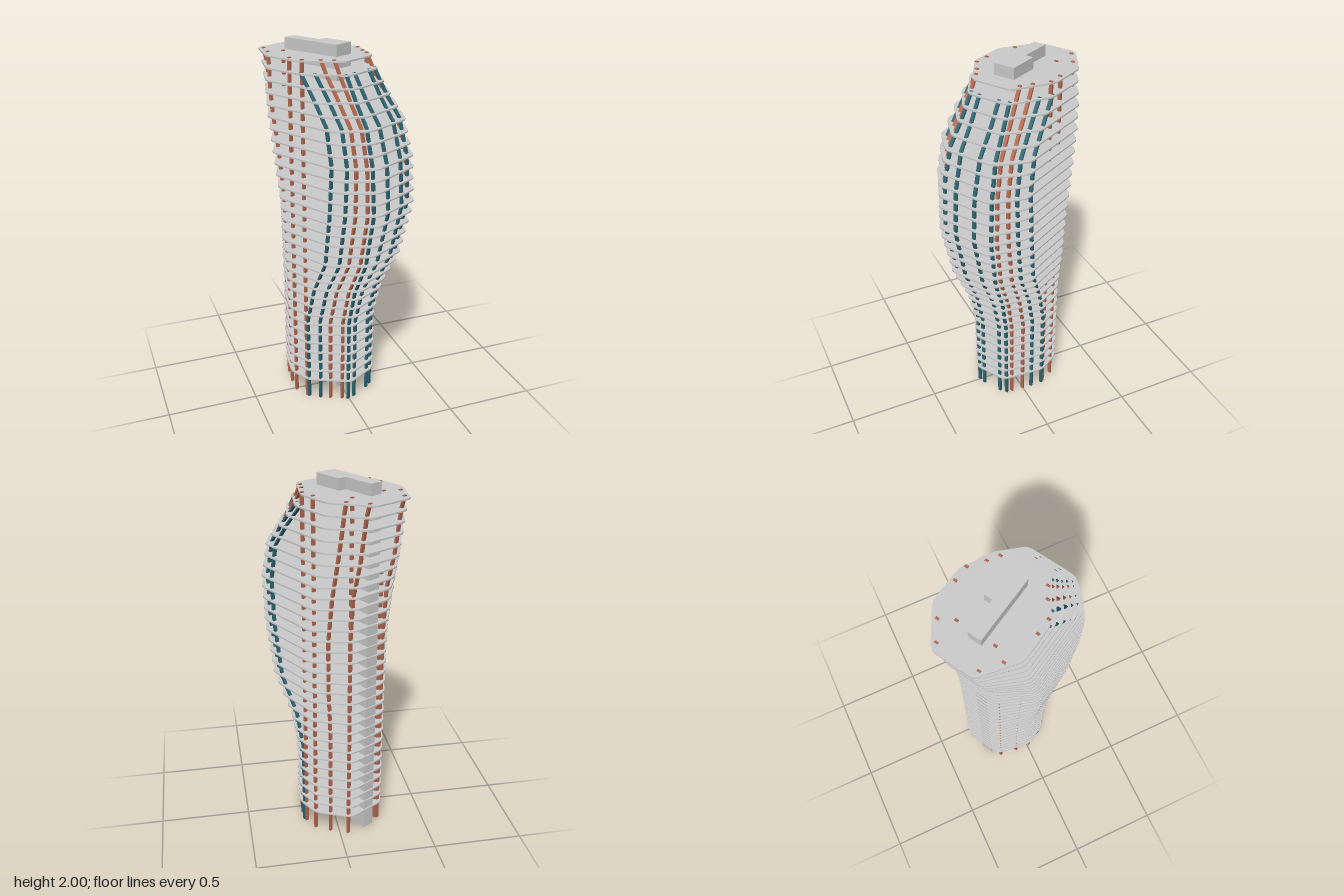
import * as THREE from 'three';

const CENTRE_U = -0.006, CENTRE_V = -0.05;

// Floor outline by height: y, front half width, front, side half width, side front end, side back end, back
const PROFILE = [
  [0.0, 0.10, 0.200, 0.240, 0.00, -0.14, -0.308],
  [0.5, 0.10, 0.205, 0.242, 0.00, -0.14, -0.308],
  [0.7, 0.11, 0.252, 0.247, 0.06, -0.14, -0.308],
  [0.9, 0.13, 0.345, 0.267, 0.18, -0.14, -0.308],
  [1.2, 0.15, 0.410, 0.279, 0.23, -0.15, -0.308],
  [1.45, 0.15, 0.394, 0.279, 0.25, -0.195, -0.325],
  [1.64, 0.14, 0.342, 0.273, 0.21, -0.226, -0.378],
  [1.76, 0.125, 0.256, 0.263, 0.11, -0.244, -0.398],
  [1.88, 0.115, 0.184, 0.248, -0.01, -0.25, -0.42],
  [1.94, 0.113, 0.150, 0.243, -0.05, -0.254, -0.44],
];
const BACK_HALF = 0.112;

// Four corners of one half of the floor, front to back
function halfOutline(y) {
  let i = 0;
  while (i < PROFILE.length - 2 && y > PROFILE[i + 1][0]) i++;
  const p = PROFILE[i], q = PROFILE[i + 1];
  const t = (y - p[0]) / (q[0] - p[0]);
  const [, a, front, b, v1, v2, back] = p.map((n, k) => THREE.MathUtils.lerp(n, q[k], t));
  return [[a, front], [b, v1], [b, v2], [BACK_HALF, back]].map(c => new THREE.Vector2(...c));
}

// Octagonal floor with rounded corners
function floorShape(y, radius = 0.03) {
  const half = halfOutline(y);
  const pts = [...half, ...half.map(p => new THREE.Vector2(-p.x, p.y)).reverse()];
  pts.forEach(p => { p.x += CENTRE_U; });
  const toward = (p, q) => p.clone().add(q.clone().sub(p).setLength(radius));
  const shape = new THREE.Shape();
  pts.forEach((p, i) => {
    const start = toward(p, pts.at(i - 1));
    const end = toward(p, pts[(i + 1) % pts.length]);
    if (i === 0) shape.moveTo(start.x, start.y);
    else shape.lineTo(start.x, start.y);
    shape.quadraticCurveTo(p.x, p.y, end.x, end.y);
  });
  shape.closePath();
  return shape;
}

// Extrudes a plan downward from height top
function slab(shape, top, depth, material, name) {
  const geo = new THREE.ExtrudeGeometry(shape, { depth, bevelEnabled: false, curveSegments: 4 });
  geo.rotateX(Math.PI / 2);
  geo.translate(0, top, 0);
  const mesh = new THREE.Mesh(geo, material);
  mesh.name = name;
  return mesh;
}

// Column with a constant level section, bent through the given nodes
function column(nodes, material, name) {
  const n = nodes.length - 1;
  const geo = new THREE.BoxGeometry(0.018, 1, 0.012, 1, n, 1);
  const pos = geo.attributes.position;
  for (let i = 0; i < pos.count; i++) {
    const node = nodes[Math.round((pos.getY(i) + 0.5) * n)];
    pos.setXYZ(i, pos.getX(i) + node.x, node.y, pos.getZ(i) + node.z);
  }
  geo.computeVertexNormals();
  const mesh = new THREE.Mesh(geo, material);
  mesh.name = name;
  return mesh;
}

export function createModel() {
  const model = new THREE.Group();
  model.name = 'tower';
  const tower = new THREE.Group();
  tower.name = 'towerBody';
  tower.rotation.y = Math.PI / 6;
  model.add(tower);

  const grey = new THREE.MeshStandardMaterial({ color: 0xcccccc });
  const terracotta = new THREE.MeshStandardMaterial({ color: 0xb5694f, flatShading: true });
  const teal = new THREE.MeshStandardMaterial({ color: 0x2f6672, flatShading: true });

  // Service core with a notched plan
  const core = new THREE.Shape([
    [-0.06, -0.30], [0.01, -0.30], [0.01, -0.12], [0.055, -0.12], [0.055, 0.048], [-0.06, 0.048],
  ].map(p => new THREE.Vector2(...p)));
  tower.add(slab(core, 2, 2, grey, 'core'));

  // Floor slabs
  const floors = new THREE.Group();
  floors.name = 'floors';
  const FLOORS = 31;
  for (let i = 0; i < FLOORS; i++) {
    const y = 0.129 + i * (1.94 - 0.129) / (FLOORS - 1);
    floors.add(slab(floorShape(y), y, 0.008, grey, 'floorSlab'));
  }
  tower.add(floors);

  // Bent columns: outline edge, position along it, colour, top height
  const columns = new THREE.Group();
  columns.name = 'columns';
  const heights = [0, 0.5, 0.7, 0.9, 1.2, 1.45, 1.64, 1.76, 1.88, 1.945];
  const bent = [
    [0, 0.2, terracotta, 1.945], [0, 0.5, terracotta, 1.945], [0, 0.05, teal, 1.88],
    [0, 0.75, teal, 1.88], [1, 0.1, teal, 1.88], [2, 0.4, terracotta, 1.945], [2, 0.93, terracotta, 1.945],
  ];
  // Straight columns: across, depth
  const straight = [[0.219, -0.117], [0.219, -0.034], [0.102, -0.266]];
  for (const side of [1, -1]) {
    for (const [edge, t, material, top] of bent) {
      const nodes = heights.filter(y => y <= top).map(y => {
        const half = halfOutline(y);
        const p = half[edge].clone().lerp(half[edge + 1], t);
        return new THREE.Vector3(side * p.x * 0.92 + CENTRE_U, y, CENTRE_V + (p.y - CENTRE_V) * 0.92);
      });
      columns.add(column(nodes, material, 'bentColumn'));
    }
    for (const [u, v] of straight) {
      const nodes = [0, 1.945].map(y => new THREE.Vector3(side * u + CENTRE_U, y, v));
      columns.add(column(nodes, terracotta, 'straightColumn'));
    }
    // Front pair follows the curved face
    const front = heights.filter(y => y <= 1.88).map(y =>
      new THREE.Vector3(side * 0.057 + CENTRE_U, y, halfOutline(y)[0].y - 0.02));
    columns.add(column(front, teal, 'frontColumn'));
  }
  tower.add(columns);
  return model;
}
